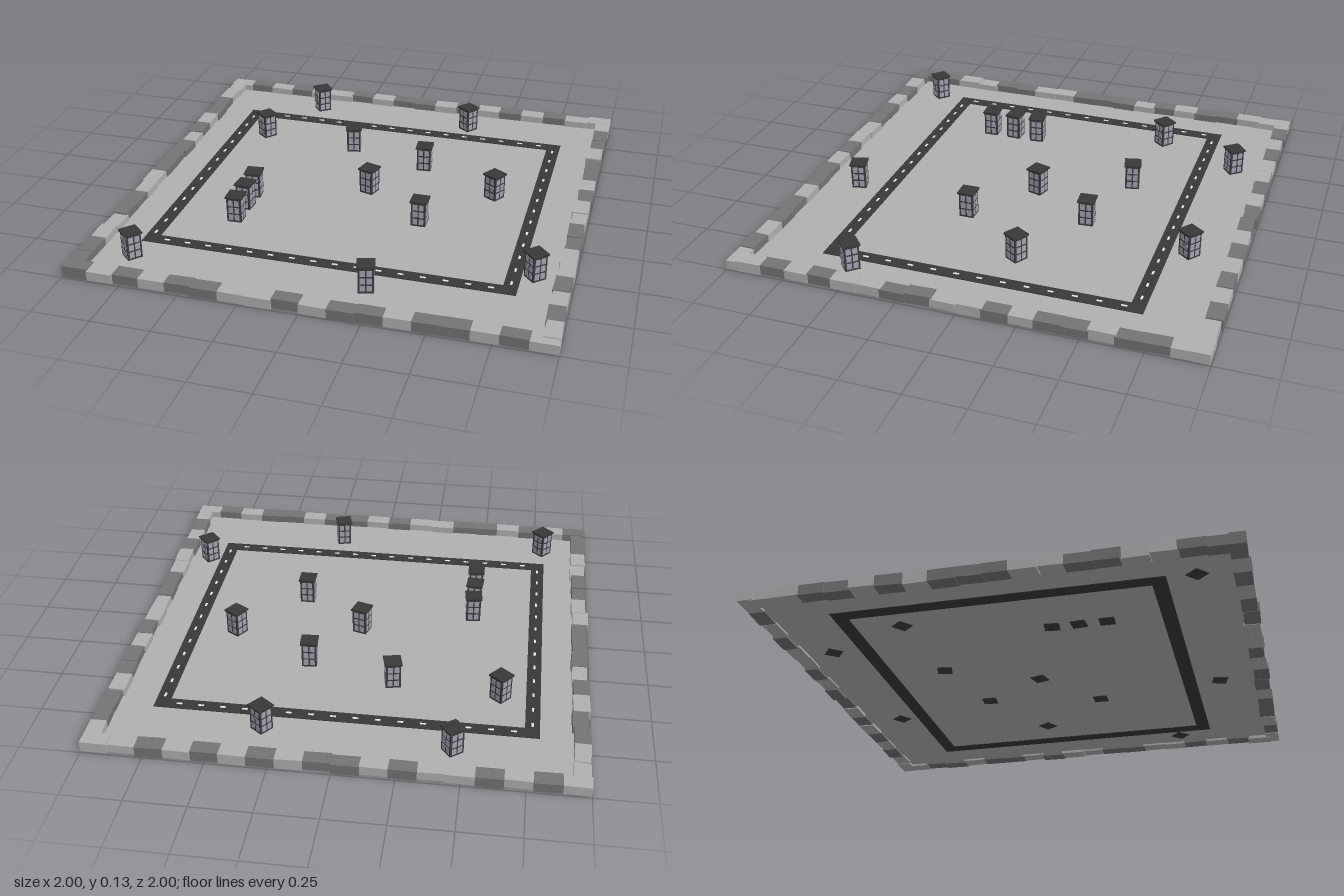
import * as THREE from 'three';

const mat = (name, color, side = THREE.FrontSide) => {
  const m = new THREE.MeshStandardMaterial({ color, side });
  m.name = name;
  return m;
};

export function createModel() {
  const ground = mat('pale grey ground', 0xb0b0b0, THREE.DoubleSide);
  const lightStone = mat('light stone', 0xb0b0b0);
  const darkStone = mat('dark stone', 0x747474);
  const asphalt = mat('asphalt', 0x383838);
  const paint = mat('white paint', 0xf0f0f0);
  const wall = mat('dark wall', 0x3c3c42);
  const glass = mat('window glass', 0xa2a2ae);

  const model = new THREE.Group();
  model.name = 'cityBlock';
  const G = 0.015; // ground level

  let seed = 7;
  const rand = () => (seed = (seed * 16807) % 2147483647) / 2147483647;
  const jitter = (a) => (rand() * 2 - 1) * a;

  const add = (parent, name, geo, material, x, y, z, ry = 0) => {
    const m = new THREE.Mesh(geo, material);
    m.name = name;
    m.position.set(x, y, z);
    m.rotation.y = ry;
    parent.add(m);
    return m;
  };
  const box = (w, h, d) => new THREE.BoxGeometry(w, h, d);

  // Ground sheet
  const plane = new THREE.PlaneGeometry(1.93, 1.93).rotateX(-Math.PI / 2);
  add(model, 'ground', plane, ground, 0, G, 0);

  // Rectangular ring road, thin enough to show on both faces of the sheet
  const cx = -0.005, cz = -0.01, hx = 0.763, hz = 0.652, w = 0.06;
  const road = new THREE.Group();
  road.name = 'road';
  model.add(road);
  for (const s of [-1, 1]) {
    add(road, 'roadLong', box(hx * 2 + w, 0.006, w), asphalt, cx, G, cz + s * hz);
    add(road, 'roadShort', box(w, 0.006, hz * 2 - w), asphalt, cx + s * hx, G, cz);
    // Centre dashes
    for (let i = 0; i < 16; i++) {
      add(road, 'dash', box(0.024, 0.002, 0.009), paint,
        cx - 0.69 + i * 0.092, G + 0.004, cz + s * hz);
    }
    for (let i = 0; i < 13; i++) {
      add(road, 'dash', box(0.009, 0.002, 0.024), paint,
        cx + s * hx, G + 0.004, cz - 0.6 + i * 0.1);
    }
  }

  // Kerb of uneven stone blocks; L is light, D is dark
  const stoneRow = (name, pattern, place) => {
    const row = new THREE.Group();
    row.name = name;
    model.add(row);
    const pitch = 2 / pattern.length;
    [...pattern].forEach((c, i) => {
      const along = -1 + pitch * (i + 0.5);
      const bottom = rand() * 0.008, top = 0.043 + rand() * 0.007;
      const geo = box(pitch, top - bottom, 0.066 + jitter(0.004));
      const [x, z, ry] = place(along, 0.962 + jitter(0.005));
      add(row, 'stone', geo, c === 'L' ? lightStone : darkStone,
        x, (top + bottom) / 2, z, ry + jitter(0.03));
    });
  };
  const q = Math.PI / 2;
  stoneRow('frontKerb', 'DLDLDDLLDLDDLDDLDL', (a, r) => [a, r, 0]);
  stoneRow('backKerb', 'LDLDLLDLDDLDLDLDLL', (a, r) => [a, -r, 0]);
  // Side rows stop short of the corner stones
  stoneRow('rightKerb', 'LLDDLDLDDDLLDDLLDD', (a, r) => [-r, a * 0.955, q]);
  stoneRow('leftKerb', 'LDDLDDLDLLDDLLDLDL', (a, r) => [r, a * 0.955, q]);

  // Small towers: x, z, turn in degrees
  const towers = [
    [-0.457, -0.81, 38], [0.315, -0.77, -38], [-0.63, -0.44, -40],
    [-0.173, -0.40, 13], [0.2, -0.295, 4], [0.565, -0.1, -32],
    [0.01, -0.01, -17], [-0.48, 0.157, 6], [-0.48, 0.27, -4],
    [-0.48, 0.388, 2], [0.295, 0.215, 0], [0.84, 0.518, 42],
    [-0.785, 0.79, -42], [0.21, 0.778, 15],
  ];
  const W = 0.064, top = 0.126;
  const wallGeo = box(W, top - G + 0.003, W);
  const roofGeo = box(0.075, 0.008, 0.075);
  const paneGeo = box(0.021, 0.027, 0.002);
  for (const [x, z, deg] of towers) {
    const t = new THREE.Group();
    t.name = 'tower';
    t.position.set(x, 0, z);
    t.rotation.y = THREE.MathUtils.degToRad(deg);
    model.add(t);
    add(t, 'walls', wallGeo, wall, 0, (top + G - 0.003) / 2, 0);
    add(t, 'roof', roofGeo, asphalt, 0, top + 0.004, 0);
    // Window panes on all four walls
    for (let f = 0; f < 4; f++) {
      const side = new THREE.Group();
      side.name = 'windows';
      side.rotation.y = f * q;
      t.add(side);
      for (let r = 0; r < 3; r++) {
        for (const s of [-1, 1]) {
          add(side, 'pane', paneGeo, glass, s * 0.0135, 0.037 + r * 0.034, W / 2);
        }
      }
    }
  }
  return model;
}
